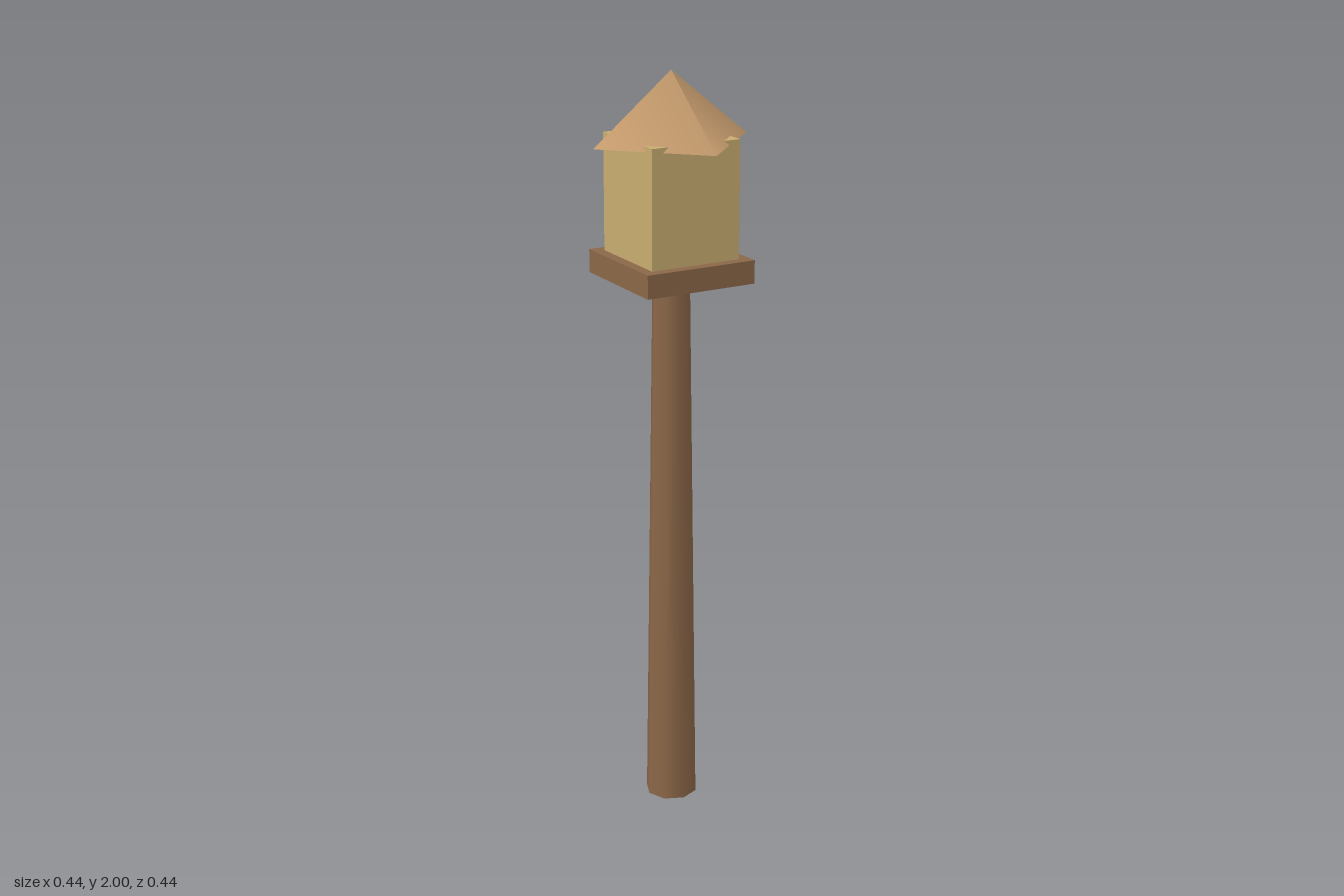
import * as THREE from 'three';

export function createModel() {
  const group = new THREE.Group();
  const material = (name, color) => {
    const m = new THREE.MeshStandardMaterial({ color });
    m.name = name;
    return m;
  };
  const darkWood = material('dark wood', 0x8b6748);
  const paleWood = material('pale wood', 0xc8ad70);
  const roofWood = material('roof wood', 0xc49a6c);

  // Place each part by the height of its underside
  const add = (name, geometry, mat, bottom, height) => {
    const mesh = new THREE.Mesh(geometry, mat);
    mesh.name = name;
    mesh.position.y = bottom + height / 2;
    group.add(mesh);
  };

  // Tapered eight-sided post
  add('post', new THREE.CylinderGeometry(0.05, 0.07, 1.467, 8), darkWood, 0, 1.467);
  // Square platform carrying the house
  add('platform', new THREE.BoxGeometry(0.31, 0.061, 0.31), darkWood, 1.467, 0.061);
  // House body, its corners poking past the roof
  add('house', new THREE.BoxGeometry(0.252, 0.307, 0.252), paleWood, 1.528, 0.307);
  // Four-sided roof, turned 45 degrees to the house
  add('roof', new THREE.ConeGeometry(0.221, 0.178, 4), roofWood, 1.822, 0.178);

  return group;
}
